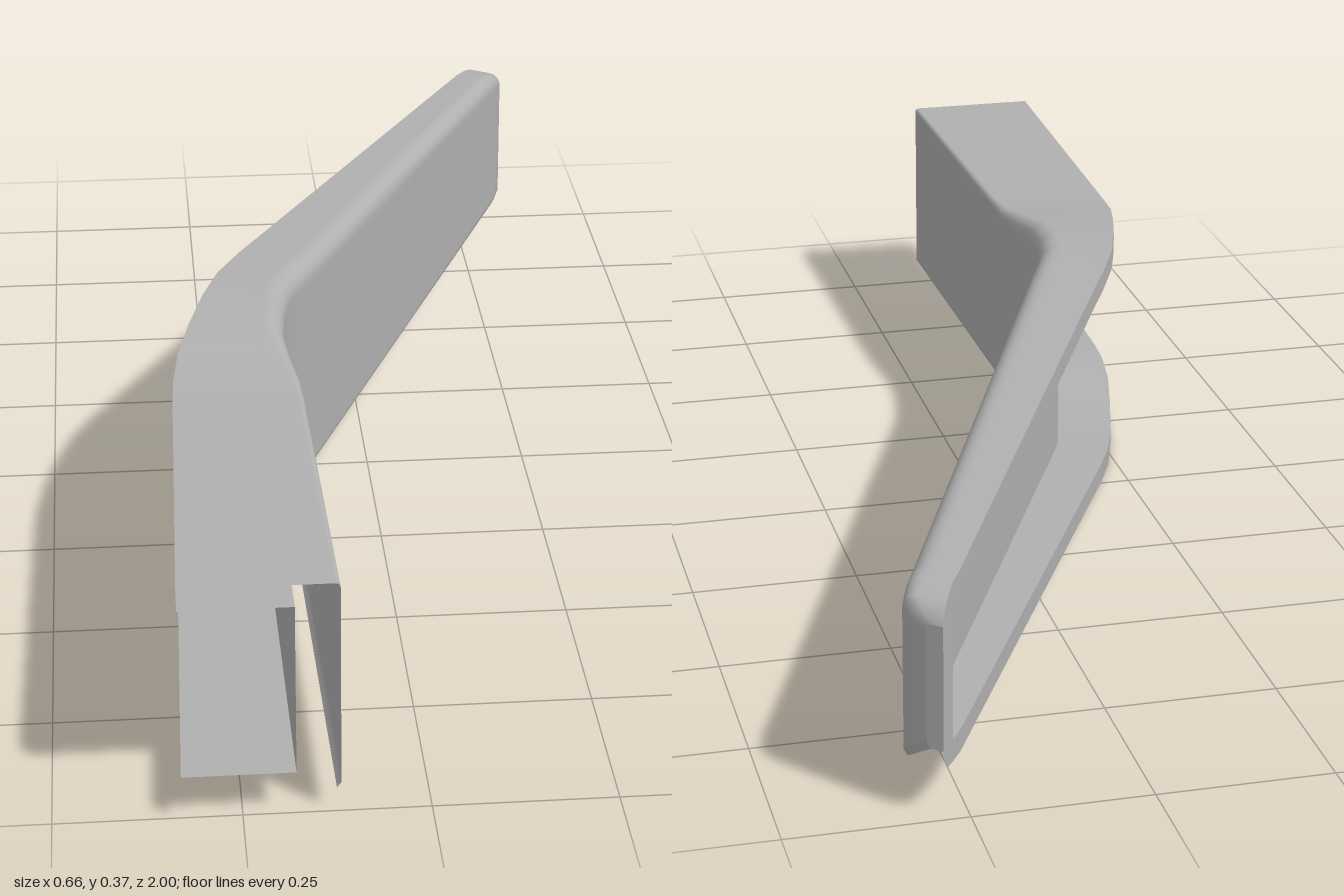
import * as THREE from 'three';

const grey = new THREE.MeshStandardMaterial({ color: 0xb0b0b0, side: THREE.DoubleSide });
grey.name = 'plain grey';

const MID = 0.187;   // height of the centre line
const LIP = 0.032;   // height of the folded rim
const DEPTH = 0.72;  // how far the channel reaches from the rim to the outer wall

// Cross-sections from front to tip: rim x, z, wall x, z, half height, edge radius
const stations = [
  [-0.330, 1.00, -0.120, 1.00, 0.156, 0.006],
  [-0.317, 0.45, -0.129, 0.45, 0.157, 0.010],
  [-0.314, 0.39, -0.131, 0.39, 0.159, 0.014],
  [-0.305, 0.32, -0.140, 0.32, 0.168, 0.022],
  [-0.286, 0.24, -0.146, 0.25, 0.179, 0.028],
  [-0.262, 0.15, -0.141, 0.18, 0.185, 0.030],
  [-0.236, 0.07, -0.128, 0.115, 0.186, 0.030],
  [-0.200, -0.01, -0.100, 0.050, 0.183, 0.030],
  [-0.170, -0.07, -0.074, -0.010, 0.180, 0.030],
  [0.245, -0.92, 0.303, -0.885, 0.132, 0.025],
  [0.262, -0.95, 0.316, -0.915, 0.129, 0.022],
  [0.276, -0.98, 0.327, -0.945, 0.120, 0.020],
  [0.283, -0.994, 0.322, -0.965, 0.107, 0.018],
  [0.286, -1.00, 0.305, -0.984, 0.092, 0.010],
].map(([lx, lz, rx, rz, h, r]) => ({
  h, r,
  width: Math.hypot(rx - lx, rz - lz),
  // t runs from the rim (0) to the outer wall (1), y is measured from the centre line
  at: (t, y) => [lx + (rx - lx) * t, MID + y, lz + (rz - lz) * t],
}));

const END = 10; // station where the channel closes
const channelStations = stations.slice(0, END + 1);
const tipStations = stations.slice(END);

// Skin over rows of points
function sheet(name, rows) {
  const n = rows[0].length;
  const index = [];
  for (let i = 0; i < rows.length - 1; i++) {
    for (let j = 0; j < n - 1; j++) {
      const a = i * n + j, b = a + 1, c = a + n, d = c + 1;
      index.push(a, b, c, b, d, c);
    }
  }
  const geometry = new THREE.BufferGeometry();
  geometry.setAttribute('position', new THREE.Float32BufferAttribute(rows.flat(2), 3));
  geometry.setIndex(index);
  geometry.computeVertexNormals();
  const mesh = new THREE.Mesh(geometry, grey);
  mesh.name = name;
  return mesh;
}

// Top, rounded edge and outer wall in one profile
function shellProfile(s) {
  const k = s.r / s.width;
  const points = [s.at(0, s.h), s.at((1 - k) * 0.9, s.h)];
  for (let i = 0; i <= 6; i++) {
    const a = (i / 6) * Math.PI / 2;
    points.push(s.at(1 - k + k * Math.sin(a), s.h - s.r + s.r * Math.cos(a)));
  }
  points.push(s.at(1, s.h - s.r - 0.01), s.at(1, -s.h + 0.02));
  points.push(s.at(1, -s.h + 0.014), s.at(1 - 0.006 / s.width, -s.h + 0.006));
  return points;
}

export function createModel() {
  const group = new THREE.Group();
  group.name = 'curvedArmCover';

  // Outer shell, open underneath
  group.add(sheet('outerShell', stations.map(shellProfile)));

  // Flat cap closing the tip
  const last = stations[stations.length - 1];
  const edge = shellProfile(last);
  group.add(sheet('tipCap', [edge, edge.map((p) => [last.at(0, 0)[0], p[1], last.at(0, 0)[2]])]));

  // Folded rim along the open side
  group.add(sheet('upperRim', channelStations.map((s) => [s.at(0, s.h - LIP), s.at(0, s.h)])));
  group.add(sheet('lowerRim', channelStations.map((s) => [s.at(0, -s.h), s.at(0, -s.h + LIP)])));
  group.add(sheet('tipRim', tipStations.map((s) => [s.at(0, -s.h), s.at(0, s.h)])));

  // Recessed channel
  const inner = (s) => s.h - LIP;
  group.add(sheet('channelFloor', channelStations.map((s) => [s.at(0, -inner(s)), s.at(DEPTH, -inner(s))])));
  group.add(sheet('channelWall', channelStations.map((s) => [s.at(DEPTH, -inner(s)), s.at(DEPTH, inner(s))])));
  group.add(sheet('channelCeiling', channelStations.map((s) => [s.at(DEPTH, inner(s)), s.at(0, inner(s))])));
  const e = stations[END];
  group.add(sheet('channelEnd', [
    [e.at(DEPTH, -inner(e)), e.at(DEPTH, inner(e))],
    [e.at(0, -inner(e)), e.at(0, inner(e))],
  ]));

  return group;
}
